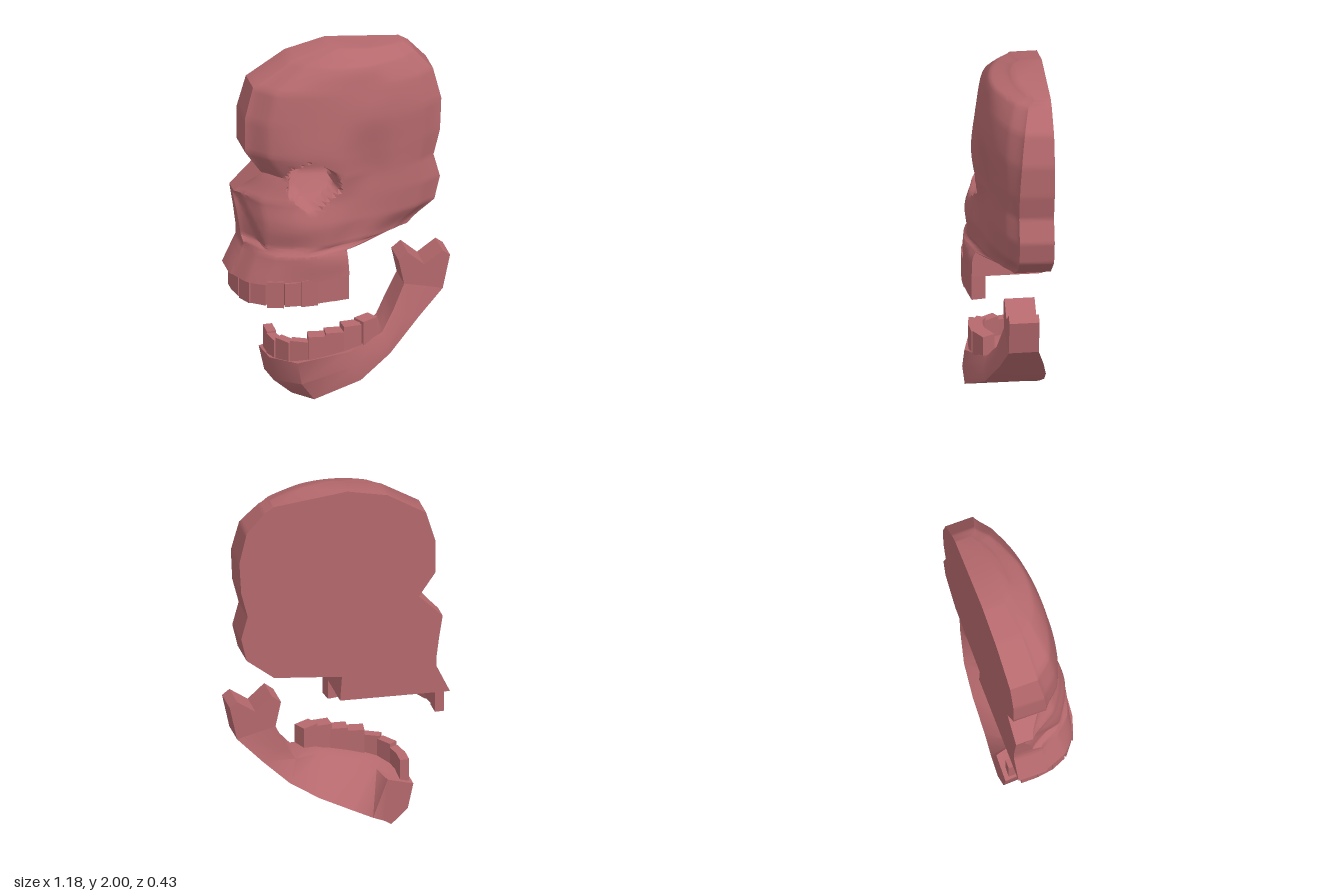
import * as THREE from 'three';
import { toCreasedNormals } from 'three/addons/utils/BufferGeometryUtils.js';

const bone = new THREE.MeshStandardMaterial({ color: 0xb5696d });
bone.name = 'bone';
const CUT = -0.215; // plane of the flat side

// closed skin through equal-length loops of [x, y, z], with end caps
function loft(loops, crease) {
  const n = loops[0].length, pos = loops.flat(2), index = [];
  for (let i = 0; i < loops.length - 1; i++) {
    for (let j = 0; j < n; j++) {
      const a = i * n + j, b = i * n + (j + 1) % n;
      index.push(a, a + n, b + n, a, b + n, b);
    }
  }
  [0, loops.length - 1].forEach((i, end) => {
    const c = pos.length / 3;
    for (let k = 0; k < 3; k++) pos.push(loops[i].reduce((s, p) => s + p[k], 0) / n);
    for (let j = 0; j < n; j++) {
      const a = i * n + j, b = i * n + (j + 1) % n;
      if (end) index.push(c, b, a); else index.push(c, a, b);
    }
  });
  const g = new THREE.BufferGeometry();
  g.setAttribute('position', new THREE.Float32BufferAttribute(pos, 3));
  g.setIndex(index);
  return toCreasedNormals(g, crease);
}

// distance inside a convex outline listed clockwise, 0 outside
function inside(poly, x, y) {
  let d = Infinity;
  poly.forEach(([ax, ay], i) => {
    const [bx, by] = poly[(i + 1) % poly.length];
    d = Math.min(d, ((by - ay) * (x - ax) - (bx - ax) * (y - ay)) / Math.hypot(bx - ax, by - ay));
  });
  return Math.max(0, d);
}

function spline(v, u) {
  const s = u * (v.length - 1), i = Math.min(Math.floor(s), v.length - 2), f = s - i;
  const p0 = v[Math.max(0, i - 1)], p1 = v[i], p2 = v[i + 1], p3 = v[Math.min(v.length - 1, i + 2)];
  return p1 + 0.5 * f * (p2 - p0 + f * (2 * p0 - 5 * p1 + 4 * p2 - p3 + f * (3 * (p1 - p2) + p3 - p0)));
}

// skull rows: face-side x, y; rear x, y; depth across the row
const T = [0, 0.1, 0.25, 0.42, 0.6, 0.75, 0.9, 1];
const ROWS = [
  [-0.03, 2.00, 0.37, 1.96, [-0.10, -0.06, -0.04, -0.04, -0.05, -0.07, -0.10, -0.13]],
  [-0.25, 1.95, 0.42, 1.93, [-0.07, 0.00, 0.05, 0.07, 0.06, 0.02, -0.03, -0.09]],
  [-0.46, 1.82, 0.52, 1.82, [-0.06, 0.04, 0.09, 0.11, 0.10, 0.07, 0.01, -0.06]],
  [-0.51, 1.65, 0.56, 1.65, [-0.04, 0.06, 0.11, 0.135, 0.125, 0.09, 0.03, -0.04]],
  [-0.51, 1.46, 0.55, 1.47, [-0.03, 0.07, 0.13, 0.15, 0.105, 0.085, 0.03, -0.03]],
  [-0.42, 1.33, 0.515, 1.33, [-0.04, 0.06, 0.125, 0.14, 0.09, 0.08, 0.03, -0.03]],
  [-0.55, 1.20, 0.55, 1.20, [-0.12, 0.04, 0.13, 0.14, 0.10, 0.085, 0.03, -0.03]],
  [-0.53, 1.07, 0.52, 1.07, [-0.08, 0.08, 0.165, 0.165, 0.11, 0.085, 0.03, -0.03]],
  [-0.515, 0.95, 0.37, 0.95, [-0.06, 0.07, 0.14, 0.165, 0.13, 0.09, 0.03, -0.02]],
  [-0.515, 0.91, 0.00, 0.91, [-0.06, 0.05, 0.13, 0.165, 0.18, 0.18, 0.165, 0.14]],
  [-0.59, 0.75, 0.01, 0.77, [-0.06, 0.07, 0.14, 0.165, 0.18, 0.185, 0.175, 0.16]],
];
const EYE = [[-0.31, 1.25], [-0.29, 1.38], [-0.16, 1.44], [-0.04, 1.34], [-0.03, 1.25], [-0.2, 1.14]];
const NOSE = [[-0.56, 0.93], [-0.56, 1.2], [-0.52, 1.19], [-0.42, 0.93]];

function skullGeometry() {
  const sub = 7, cols = 8, loops = [];
  const lerp = THREE.MathUtils.lerp;
  for (let r = 0; r <= (ROWS.length - 1) * sub; r++) {
    const i = Math.min(Math.floor(r / sub), ROWS.length - 2), f = r / sub - i;
    const [fx, fy, bx, by] = [0, 1, 2, 3].map(k => lerp(ROWS[i][k], ROWS[i + 1][k], f));
    const depths = T.map((_, k) => spline(ROWS.map(row => row[4][k]), r / sub / (ROWS.length - 1)));
    const loop = [[fx, fy, CUT]];
    const steps = (T.length - 1) * cols;
    for (let c = 0; c <= steps; c++) {
      const k = Math.min(Math.floor(c / cols), T.length - 2);
      const t = lerp(T[k], T[k + 1], c / cols - k);
      const x = lerp(fx, bx, t), y = lerp(fy, by, t);
      let z = spline(depths, c / steps);
      // eye socket is deepest under the brow; nose opening is shallow
      z -= 0.14 * Math.min(1, inside(EYE, x, y) / 0.025) * THREE.MathUtils.clamp((y - 1.12) / 0.2, 0, 1);
      z -= 0.05 * Math.min(1, inside(NOSE, x, y) / 0.015);
      loop.push([x, y, Math.max(z, CUT + 0.005)]);
    }
    loop.push([bx, by, CUT]);
    loops.push(loop);
  }
  return loft(loops, 0.7);
}

// jaw sections from chin to ramus: outer top, outer middle, outer bottom, inner bottom, inner top
const JAW = [
  [[-0.39, 0.23, CUT], [-0.36, 0.09, CUT], [-0.27, 0.005, CUT], [-0.23, 0.03, CUT], [-0.25, 0.27, CUT]],
  [[-0.38, 0.25, -0.02], [-0.36, 0.12, -0.01], [-0.26, 0.03, -0.02], [-0.17, 0.055, CUT], [-0.22, 0.28, -0.10]],
  [[-0.27, 0.28, 0.15], [-0.25, 0.16, 0.16], [-0.18, 0.06, 0.15], [-0.06, 0.11, -0.21], [-0.14, 0.30, 0.00]],
  [[0.00, 0.34, 0.20], [0.03, 0.26, 0.215], [0.06, 0.17, 0.205], [0.12, 0.205, -0.21], [0.05, 0.35, 0.03]],
  [[0.20, 0.39, 0.11], [0.22, 0.33, 0.13], [0.24, 0.265, 0.12], [0.28, 0.31, -0.20], [0.22, 0.40, -0.10]],
  [[0.27, 0.48, 0.06], [0.34, 0.46, 0.07], [0.41, 0.43, 0.06], [0.42, 0.44, -0.17], [0.28, 0.49, -0.14]],
  [[0.34, 0.62, 0.03], [0.45, 0.595, 0.03], [0.55, 0.57, 0.03], [0.55, 0.57, -0.13], [0.34, 0.62, -0.13]],
];
const FORK = [[0.34, 0.62], [0.55, 0.57], [0.59, 0.76], [0.55, 0.79], [0.45, 0.72], [0.36, 0.80], [0.31, 0.76]];

// row of block teeth along a curve through their centres
function teeth(name, points, count, height) {
  const row = new THREE.Group();
  row.name = name;
  const curve = new THREE.CatmullRomCurve3(points.map(p => new THREE.Vector3(...p)));
  const width = curve.getLength() / count;
  for (let i = 0; i < count; i++) {
    const u = (i + 0.5) / count, dir = curve.getTangentAt(u);
    const h = height - 0.015 * (i % 2);
    const tooth = new THREE.Mesh(new THREE.BoxGeometry(width * 1.02, h, i < 4 ? 0.05 : 0.075), bone);
    tooth.name = 'tooth';
    tooth.position.copy(curve.getPointAt(u));
    tooth.rotation.y = Math.atan2(-dir.z, dir.x);
    row.add(tooth);
  }
  return row;
}

export function createModel() {
  const model = new THREE.Group();
  model.name = 'halfSkull';
  const add = (name, geometry) => {
    const mesh = new THREE.Mesh(geometry, bone);
    mesh.name = name;
    model.add(mesh);
  };

  add('cranium', skullGeometry());
  add('lowerJaw', loft([...JAW].reverse(), 0.9));

  // forked top of the jaw
  const fork = new THREE.ExtrudeGeometry(
    new THREE.Shape(FORK.map(p => new THREE.Vector2(...p))), { depth: 0.16, bevelEnabled: false });
  add('jawFork', fork.translate(0, 0, -0.13));

  model.add(teeth('upperTeeth', [[-0.54, 0.70, -0.19], [-0.53, 0.70, -0.04], [-0.47, 0.70, 0.08],
    [-0.35, 0.70, 0.135], [-0.18, 0.70, 0.145], [0.0, 0.71, 0.125]], 9, 0.15));
  model.add(teeth('lowerTeeth', [[-0.35, 0.29, -0.19], [-0.34, 0.29, -0.03], [-0.26, 0.32, 0.09],
    [-0.1, 0.37, 0.13], [0.06, 0.41, 0.13], [0.15, 0.43, 0.09]], 8, 0.15));
  return model;
}
